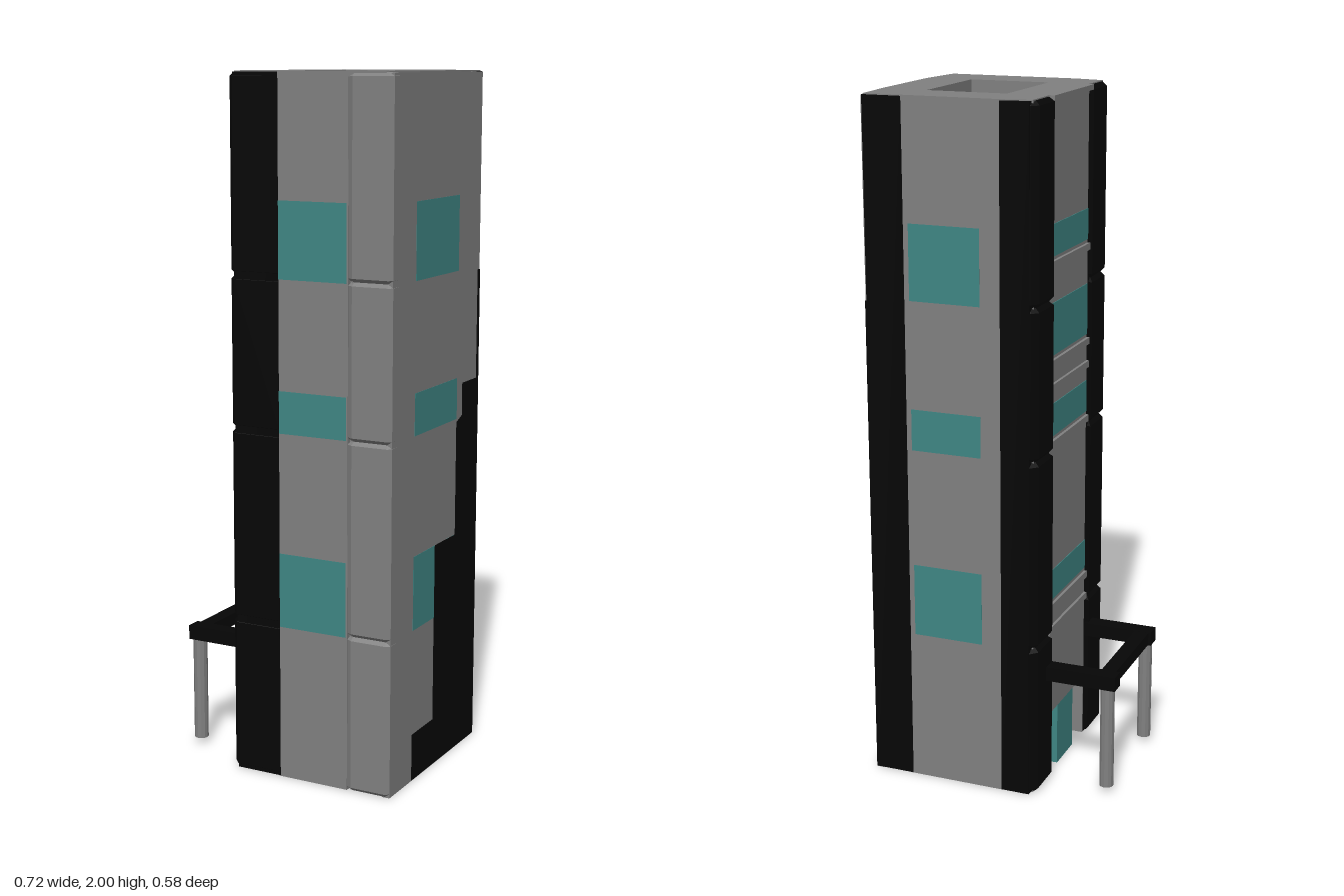
import * as THREE from 'three';

const mat = (color) => new THREE.MeshStandardMaterial({ color, flatShading: true });

export function createModel() {
  const root = new THREE.Group();
  const grey = mat(0x808080), black = mat(0x060606), teal = mat(0x3f8684);

  const add = (name, geo, material) => {
    const mesh = new THREE.Mesh(geo, material);
    mesh.name = name;
    root.add(mesh);
    return mesh;
  };
  // Box given by its limits on each axis
  const box = (name, material, x0, x1, y0, y1, z0, z1) => {
    const g = new THREE.BoxGeometry(x1 - x0, y1 - y0, z1 - z0);
    g.translate((x0 + x1) / 2, (y0 + y1) / 2, (z0 + z1) / 2);
    return add(name, g, material);
  };
  // Plan outline [x, z] raised from y0 to y1, optionally with a hole and bevelled ends
  const toV = (pts) => pts.map(([x, z]) => new THREE.Vector2(x, -z));
  const slab = (name, material, pts, y0, y1, hole, bevel = 0) => {
    const shape = new THREE.Shape(toV(pts));
    if (hole) shape.holes.push(new THREE.Path(toV(hole)));
    const g = new THREE.ExtrudeGeometry(shape, {
      depth: y1 - y0 - 2 * bevel, bevelEnabled: bevel > 0, bevelSize: bevel,
      bevelThickness: bevel, bevelOffset: -bevel, bevelSegments: 1,
    });
    g.rotateX(-Math.PI / 2).translate(0, y0 + bevel, 0);
    return add(name, g, material);
  };

  // Hollow tower: a U-shaped base with the entrance, then a closed shaft
  const shaft = [[-0.015, 0.15], [0.222, 0.15], [0.222, -0.16], [-0.015, -0.16]];
  const plan = [[-0.135, -0.27], [0.345, -0.27], [0.345, 0.27], [-0.135, 0.27]];
  slab('towerBase', grey, [
    ...plan, [-0.135, 0.15], [0.222, 0.15], [0.222, -0.16], [-0.135, -0.16],
  ], 0, 0.19);
  slab('towerShaft', grey, plan, 0.19, 1.985, shaft);

  // Roof slab with trimmed corners
  slab('roof', grey, [
    [-0.135, -0.275], [-0.05, -0.29], [0.35, -0.29], [0.358, -0.14], [0.358, 0.13],
    [0.34, 0.275], [0.335, 0.284], [-0.05, 0.284], [-0.135, 0.268],
    [-0.135, 0.155], [-0.15, 0.155], [-0.15, -0.155], [-0.135, -0.155],
  ], 1.985, 2, shaft);

  // Outer wall faces
  box('frontWall', grey, 0.005, 0.225, 0, 1.99, 0.26, 0.284);
  box('backWall', grey, -0.05, 0.25, 0, 1.99, -0.288, -0.26);
  box('leftWall', grey, 0.335, 0.358, 0, 1.995, -0.289, 0.281);

  // Windows on the front, back and left walls
  for (const [y0, y1] of [[0.45, 0.665], [1.01, 1.13], [1.44, 1.655]]) {
    box('frontWindow', teal, 0.01, 0.22, y0, y1, 0.27, 0.2848);
    box('backWindow', teal, 0.015, 0.225, y0, y1, -0.2888, -0.27);
    box('leftWindow', teal, 0.34, 0.3588, y0, y1, -0.14, 0.14);
  }

  // Dark corner piers in bevelled storeys around a plain core
  const levels = [0.002, 0.455, 1.01, 1.445, 1.997];
  const pier = (name, xEnd, s) => {
    const outline = (d) => {
      const pts = [
        [xEnd, s * (0.286 - d)], [-0.132 + d, s * (0.286 - d)],
        [-0.15 + d, s * (0.266 - d)], [-0.15 + d, s * 0.156], [xEnd, s * 0.2],
      ];
      return s > 0 ? pts : pts.reverse();
    };
    slab(name + 'Core', black, outline(0.013), 0.002, 1.99);
    for (let i = 0; i < 4; i++) {
      slab(name, black, outline(0), levels[i], levels[i + 1], null, 0.012);
    }
    // Flat wing that meets the wall
    box(name + 'Wing', black, -0.13, xEnd, 0.002, 1.997, s > 0 ? 0.255 : -0.2905, s > 0 ? 0.285 : -0.255);
  };
  pier('frontPier', 0.01, 1);
  pier('backPier', -0.045, -1);
  box('backLeftPier', black, 0.24, 0.355, 0.002, 1.997, -0.2905, -0.26);

  // Pale chamfered pilaster on the front left corner, in storeys
  box('pilasterCore', grey, 0.235, 0.35, 0.002, 1.99, 0.25, 0.28);
  for (let i = 0; i < 4; i++) {
    slab('pilaster', grey, [
      [0.222, 0.25], [0.222, 0.28], [0.24, 0.291], [0.347, 0.291], [0.3585, 0.281], [0.3585, 0.25],
    ], levels[i], levels[i + 1], null, 0.01);
  }

  // Stepped dark cladding on the left wall, drawn in z and y
  const steps = [
    [-0.29, 0.002], [0.14, 0.002], [0.14, 0.14], [0, 0.14], [0, 0.665], [-0.14, 0.665],
    [-0.14, 1.0], [-0.178, 1.015], [-0.178, 1.11], [-0.276, 1.11], [-0.276, 1.43], [-0.29, 1.43],
  ];
  const cladding = new THREE.ExtrudeGeometry(
    new THREE.Shape(steps.map(([z, y]) => new THREE.Vector2(-z, y))),
    { depth: 0.0195, bevelEnabled: false });
  cladding.rotateY(Math.PI / 2).translate(0.34, 0, 0);
  add('steppedCladding', cladding, black);

  // Entrance side: window bands, ledges and the door
  for (const [y0, y1] of [[0.55, 0.64], [1.045, 1.14], [1.28, 1.43], [1.56, 1.65]]) {
    box('bandWindow', teal, -0.137, -0.12, y0, y1, -0.155, 0.155);
    box('windowLedge', grey, -0.144, -0.12, y0 - 0.03, y0 - 0.01, -0.155, 0.155);
  }
  for (const y of [0.45, 1.18]) {
    box('wallLedge', grey, -0.143, -0.12, y, y + 0.02, -0.155, 0.155);
  }
  box('door', teal, -0.135, -0.115, 0, 0.19, -0.07, 0.06);

  // Porch frame on two round posts
  box('porchArm', black, -0.36, -0.14, 0.33, 0.372, -0.205, -0.158);
  box('porchArm', black, -0.355, -0.14, 0.33, 0.372, 0.145, 0.193);
  box('porchBeam', black, -0.347, -0.303, 0.332, 0.37, -0.17, 0.16);
  for (const z of [-0.181, 0.169]) {
    const g = new THREE.CylinderGeometry(0.021, 0.021, 0.32, 12);
    add('porchPost', g, grey).position.set(-0.331, 0.18, z);
  }
  return root;
}
